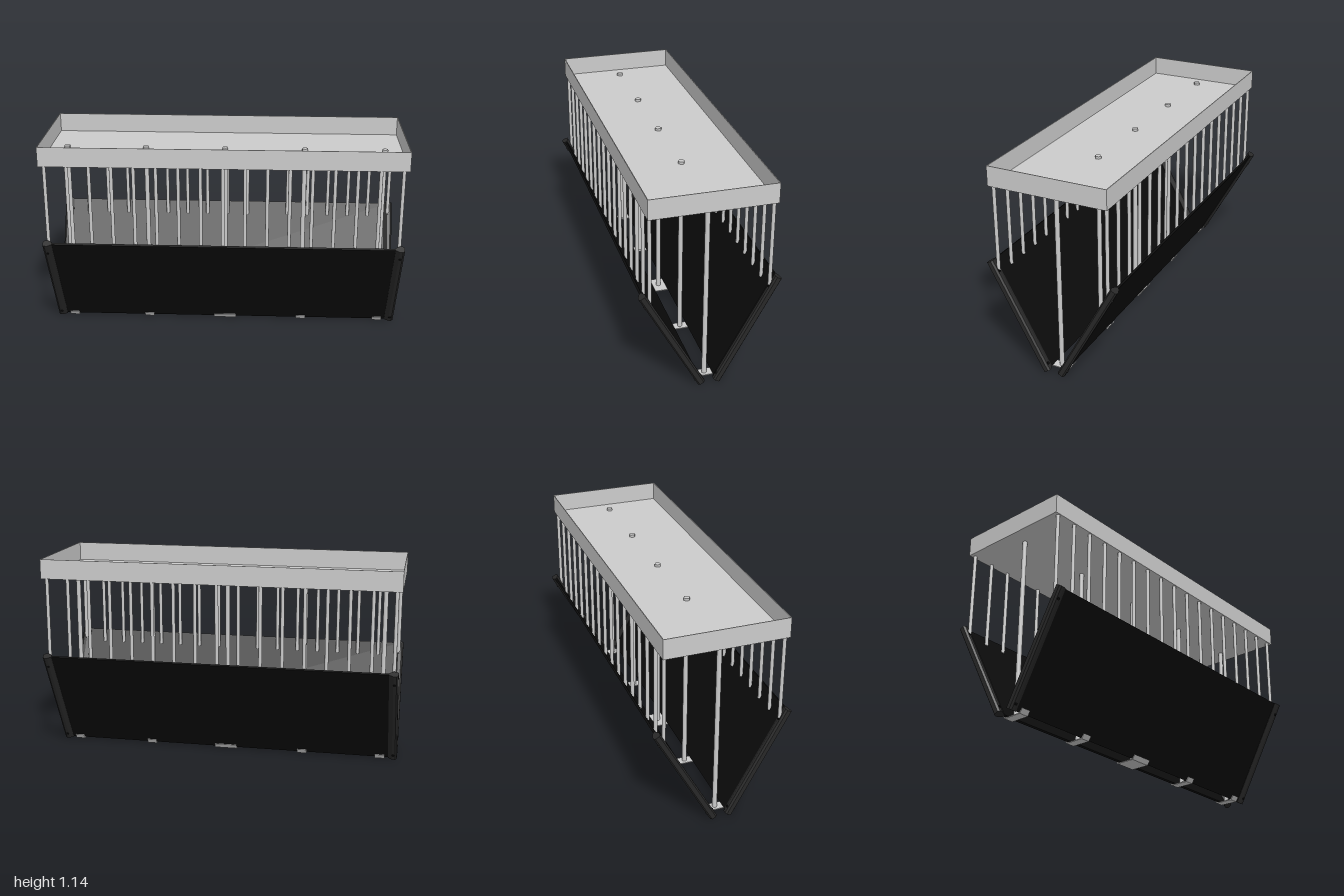
import * as THREE from 'three';

const grey = new THREE.MeshStandardMaterial({ color: 0xcccccc });
const black = new THREE.MeshStandardMaterial({ color: 0x0b0b0b });
const dark = new THREE.MeshStandardMaterial({ color: 0x282828 });

function add(parent, name, geometry, material, x = 0, y = 0, z = 0) {
  const mesh = new THREE.Mesh(geometry, material);
  mesh.name = name;
  mesh.position.set(x, y, z);
  parent.add(mesh);
  return mesh;
}

function polygon(points) {
  return new THREE.Shape(points.map(([x, y]) => new THREE.Vector2(x, y)));
}

// Open tray: thin floor and four thin walls
function makeTray() {
  const tray = new THREE.Group();
  tray.name = 'tray';
  const bottom = 1.03, height = 0.11, t = 0.004, halfX = 1, halfZ = 0.333;
  add(tray, 'trayFloor', new THREE.BoxGeometry(2 * halfX, t, 2 * halfZ), grey, 0, bottom + t / 2, 0);
  for (const s of [-1, 1]) {
    add(tray, 'trayLongWall', new THREE.BoxGeometry(2 * halfX, height, t), grey,
      0, bottom + height / 2, s * (halfZ - t / 2));
    add(tray, 'trayEndWall', new THREE.BoxGeometry(t, height, 2 * halfZ - 2 * t), grey,
      s * (halfX - t / 2), bottom + height / 2, 0);
  }
  return tray;
}

// Sloping side panel with a bevelled rail and two screws at each end
function makePanel() {
  const panel = new THREE.Group();
  panel.name = 'sidePanel';
  add(panel, 'panelSheet', new THREE.BoxGeometry(1.96, 0.655, 0.012), black);

  const railLength = 0.661;
  const section = [[0.945, 0.008], [0.968, 0.02], [0.985, 0.02], [0.995, 0.012]];
  for (const s of [-1, 1]) {
    const outline = [...section, ...section.map(([x, z]) => [x, -z]).reverse()]
      .map(([x, z]) => [s * x, z]);
    const geometry = new THREE.ExtrudeGeometry(polygon(outline), { depth: railLength, bevelEnabled: false });
    geometry.translate(0, 0, -railLength / 2).rotateX(-Math.PI / 2);
    add(panel, 'endRail', geometry, dark);
    for (const y of [-0.295, 0.265]) {
      const screw = add(panel, 'railScrew', new THREE.CylinderGeometry(0.008, 0.008, 0.046, 12), black,
        s * 0.974, y, 0);
      screw.rotation.x = Math.PI / 2;
    }
  }
  return panel;
}

// Bent strap joining the lower edges of both panels
function strapGeometry(width) {
  const outline = [
    [-0.072, 0.032], [-0.055, 0.006], [0.055, 0.006], [0.072, 0.032],
    [0.068, 0.034], [0.052, 0.011], [-0.052, 0.011], [-0.068, 0.034],
  ];
  const geometry = new THREE.ExtrudeGeometry(polygon(outline), { depth: width, bevelEnabled: false });
  return geometry.translate(0, 0, -width / 2).rotateY(Math.PI / 2);
}

export function createModel() {
  const model = new THREE.Group();
  model.name = 'rackFeeder';
  model.add(makeTray());

  // Front and back panels form a V
  for (const s of [-1, 1]) {
    const panel = makePanel();
    panel.position.set(0, 0.303, s * 0.2);
    panel.rotation.x = s * 0.5;
    model.add(panel);
  }

  // Rows of thin bars between tray and panels
  const barGeometry = new THREE.CylinderGeometry(0.01, 0.01, 0.505, 12);
  for (const s of [-1, 1]) {
    for (let i = -8; i <= 8; i++) {
      add(model, 'bar', barGeometry, grey, i * 0.1212, 0.7785, s * 0.317);
    }
  }

  // Central posts with bolt heads above and straps below
  const postGeometry = new THREE.CylinderGeometry(0.013, 0.013, 1.022, 16);
  const boltGeometry = new THREE.CylinderGeometry(0.018, 0.018, 0.014, 6);
  for (let i = -2; i <= 2; i++) {
    const x = i * 0.449;
    add(model, 'centrePost', postGeometry, grey, x, 0.52, 0);
    add(model, 'boltHead', boltGeometry, grey, x, 1.041, 0);
    add(model, 'lowerStrap', strapGeometry(i === 0 ? 0.13 : 0.055), grey, x, 0, 0);
  }
  return model;
}
